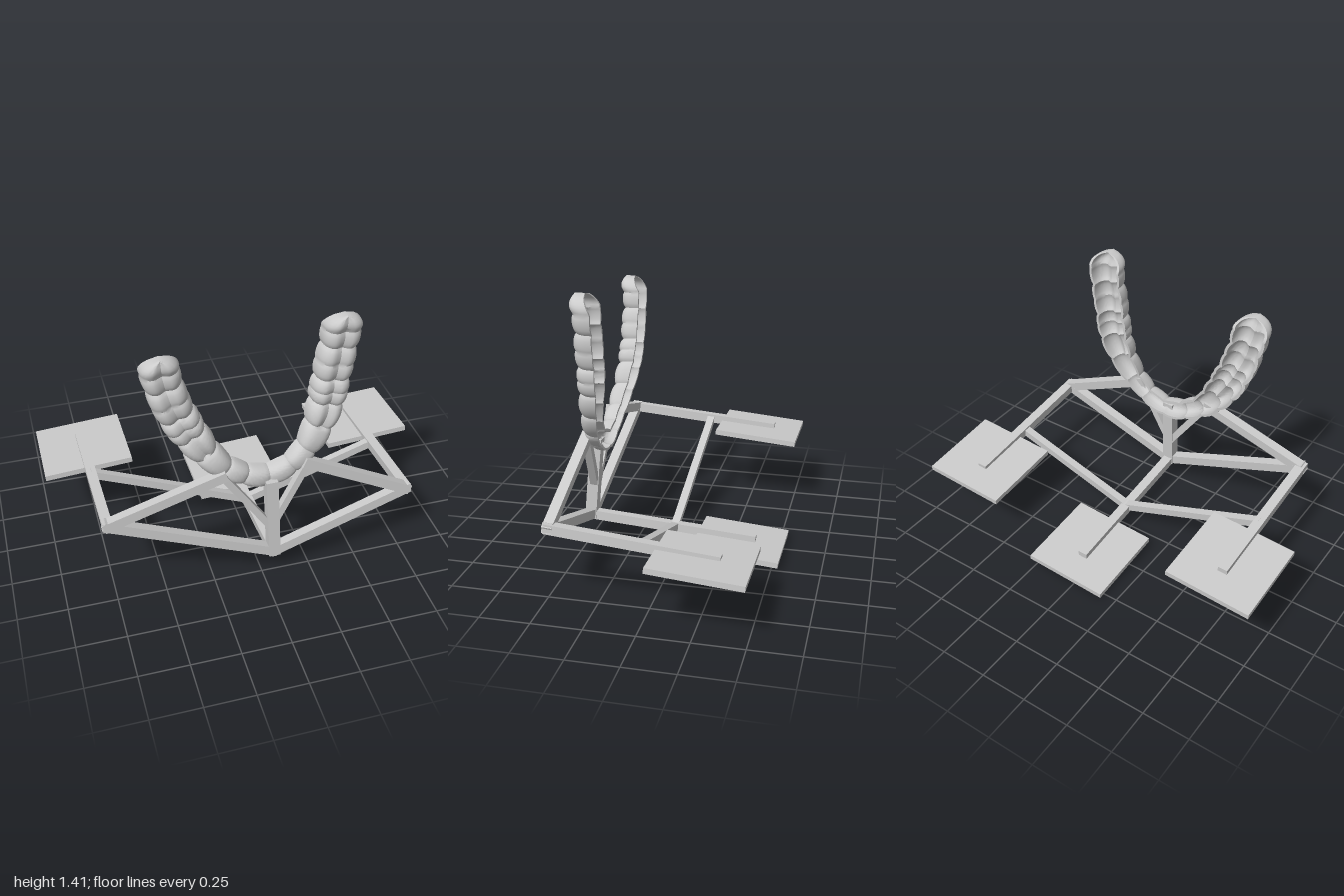
import * as THREE from 'three';
import { toCreasedNormals } from 'three/addons/utils/BufferGeometryUtils.js';

const grey = new THREE.MeshStandardMaterial({ color: 0xcccccc });
const shellGrey = new THREE.MeshStandardMaterial({ color: 0xcccccc, side: THREE.DoubleSide });
const V = (x, y, z) => new THREE.Vector3(x, y, z);

// the frame and plates share one slight tilt
const tilt = new THREE.Euler(-0.085, 0, 0.065);
const tiltUp = V(0, 1, 0).applyEuler(tilt);
const tiltFront = V(0, 0, 1).applyEuler(tilt);

// square bar between two points, lengthened a little to fill the joints
function bar(name, a, b, { width = 0.05, height = 0.05, hint = tiltFront, extra = 0.02 } = {}) {
  const dir = b.clone().sub(a);
  const length = dir.length();
  dir.normalize();
  const side = hint.clone().cross(dir).normalize();
  const up = dir.clone().cross(side);
  const mesh = new THREE.Mesh(new THREE.BoxGeometry(width, height, length + extra * 2), grey);
  mesh.quaternion.setFromRotationMatrix(new THREE.Matrix4().makeBasis(side, up, dir));
  mesh.position.copy(a).add(b).multiplyScalar(0.5);
  mesh.name = name;
  return mesh;
}

function plate(name, x, y, z) {
  const mesh = new THREE.Mesh(new THREE.BoxGeometry(0.455, 0.028, 0.455), grey);
  mesh.position.set(x, y, z);
  mesh.rotation.copy(tilt);
  mesh.name = name;
  return mesh;
}

// hollow tray of tooth shapes, open at the back
function toothTray() {
  const path = new THREE.CatmullRomCurve3([
    [-0.465, 1.325], [-0.455, 1.22], [-0.405, 1.03], [-0.315, 0.84], [-0.18, 0.665],
    [0, 0.57], [0.12, 0.585], [0.245, 0.69], [0.335, 0.88], [0.375, 1.12], [0.4, 1.3], [0.405, 1.415],
  ].map(([x, y]) => V(x, y, 0)));
  path.arcLengthDivisions = 600;

  const teeth = [0.17, 0.17, 0.13, 0.12, 0.13, 0.11, 0.12, 0.12, 0.11, 0.13, 0.12, 0.13, 0.17, 0.17];
  const total = teeth.reduce((a, b) => a + b);
  const steps = 14, around = 24, wall = 0.014;
  const stations = [];
  let start = 0;
  teeth.forEach((len, k) => {
    for (let i = 0; i < steps; i++) stations.push({ k, f: i / steps, u: (start + len * i / steps) / total });
    start += len;
  });
  stations.push({ k: teeth.length - 1, f: 1, u: 1 });

  const pos = [], index = [];
  const ring = 2 * (around + 1);
  stations.forEach(({ k, f, u }, i) => {
    const p = path.getPointAt(u), t = path.getTangentAt(u);
    const arm = THREE.MathUtils.smoothstep(Math.abs(u - 0.49), 0.06, 0.3);
    const molar = k < 3 || k > 10;
    const back = Math.abs(k - 6.5) > 2.6 ? 1 : 0;
    // each tooth bulges between its neighbours; molars carry two cusps per side
    const bulge = Math.pow(Math.sin(Math.PI * f), 0.6);
    const cusp = molar ? Math.pow(Math.abs(Math.sin(2 * Math.PI * f)), 0.6) : bulge;
    const e = Math.max(0, 1 - Math.min(u, 1 - u) / 0.04);
    const close = Math.sqrt(Math.max(0, 1 - e * e));
    const w = (0.056 + 0.038 * arm) * (0.85 + 0.11 * bulge + 0.06 * cusp) * close;
    const zBack = 0.387 - 0.05 * arm + 0.045 * e;
    const d = (0.078 + 0.028 * arm) * (0.84 + 0.1 * bulge + 0.08 * cusp) * (1 - 0.45 * e * e);
    const groove = back * 0.02 * close;
    for (let j = 0; j < ring; j++) {
      const inner = j > around;
      const v = Math.PI * (inner ? ring - 1 - j : j) / around;
      const c = Math.cos(v), s = Math.sin(v);
      const lat = Math.sign(c) * Math.pow(Math.abs(c), 0.75);
      const hw = inner ? Math.max(0, w - wall) : w;
      const hd = inner ? Math.max(0.01, d - wall * 1.3) : d;
      const dip = groove * Math.exp(-Math.pow(lat / 0.28, 2));
      const z = zBack + Math.pow(Math.max(0, s), 0.65) * hd - dip;
      pos.push(p.x - t.y * lat * hw, p.y + t.x * lat * hw, z);
      if (i < stations.length - 1) {
        const a = i * ring + j, b = i * ring + (j + 1) % ring;
        index.push(a, b, b + ring, a, b + ring, a + ring);
      }
    }
  });
  const geo = new THREE.BufferGeometry();
  geo.setAttribute('position', new THREE.Float32BufferAttribute(pos, 3));
  geo.setIndex(index);
  const mesh = new THREE.Mesh(toCreasedNormals(geo, 0.7), shellGrey);
  mesh.name = 'toothTray';
  return mesh;
}

export function createModel() {
  const model = new THREE.Group();
  model.name = 'dentalTrayFrame';
  model.add(toothTray());

  // front nodes, rear nodes and rail ends
  const front = { left: V(0.765, 0.375, 0.48), middle: V(0.06, 0.135, 0.495), right: V(-0.765, 0.47, 0.465) };
  const rear = { left: V(0.765, 0.335, 0.03), middle: V(0.055, 0.1, 0.04), right: V(-0.77, 0.433, 0.01) };
  const end = { left: V(0.76, 0.3, -0.32), middle: V(0.045, 0.066, -0.37), right: V(-0.775, 0.4, -0.345) };
  const top = { left: V(0.235, 0.635, 0.455), right: V(-0.195, 0.64, 0.455) };

  const frame = new THREE.Group();
  frame.name = 'frame';
  for (const s of ['left', 'middle', 'right'])
    frame.add(bar(s + 'Rail', front[s], end[s], { hint: tiltUp, height: 0.048 }));
  const postFoot = V(0.05, 0.28, 0.475);
  for (const s of ['left', 'right']) {
    frame.add(
      bar(s + 'LowerFrontBar', front.middle, front[s]),
      bar(s + 'UpperFrontBar', front[s], top[s]),
      bar(s + 'RearBar', rear.middle, rear[s], { width: 0.04, height: 0.04, extra: 0.01 }),
      bar(s + 'Brace', postFoot, top[s], { width: 0.035, height: 0.04, extra: 0 }),
    );
  }
  frame.add(bar('frontPost', front.middle, V(0.05, 0.545, 0.46), { width: 0.06, height: 0.06 }));
  model.add(frame);

  // foot plates under the rail ends
  model.add(
    plate('leftPlate', 0.768, 0.297, -0.262),
    plate('middlePlate', 0.053, 0.05, -0.31),
    plate('rightPlate', -0.773, 0.389, -0.283),
  );
  return model;
}
